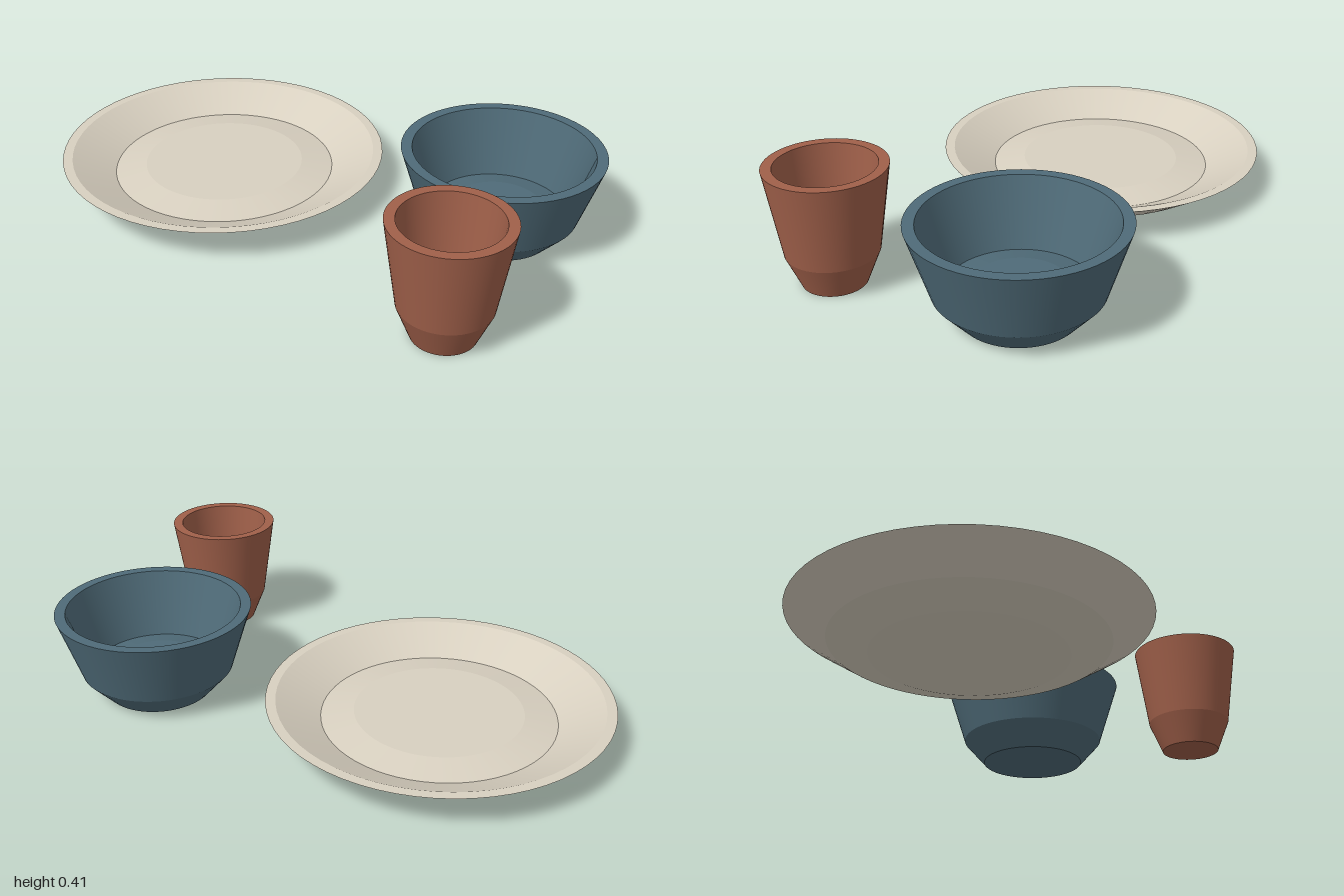
import * as THREE from 'three';
import { mergeGeometries } from 'three/addons/utils/BufferGeometryUtils.js';

const SEGMENTS = 64;

// Turned vessel: smooth around the axis, crisp between profile segments
function vessel(name, profile, material, x, z) {
  const bands = [];
  for (let i = 0; i < profile.length - 1; i++) {
    const pair = [profile[i], profile[i + 1]].map(([r, y]) => new THREE.Vector2(r, y));
    bands.push(new THREE.LatheGeometry(pair, SEGMENTS));
  }
  const mesh = new THREE.Mesh(mergeGeometries(bands), material);
  mesh.name = name;
  mesh.position.set(x, 0, z);
  return mesh;
}

function paint(name, color) {
  const material = new THREE.MeshStandardMaterial({ color });
  material.name = name;
  return material;
}

export function createModel() {
  const group = new THREE.Group();
  group.name = 'tableware';

  // Profiles run from the underside, up the outer wall, over the rim and down inside
  const plate = [
    [0, 0], [0.325, 0], [0.46, 0.04], [0.6, 0.13],
    [0.565, 0.13], [0.41, 0.053], [0.295, 0.073], [0, 0.073],
  ];
  const bowl = [
    [0, 0], [0.195, 0], [0.275, 0.09], [0.35, 0.325],
    [0.312, 0.325], [0.236, 0.09], [0.155, 0.105], [0, 0.105],
  ];
  const cup = [
    [0, 0], [0.108, 0], [0.155, 0.115], [0.2, 0.415],
    [0.165, 0.415], [0.136, 0.12], [0.073, 0.06], [0, 0.06],
  ];

  group.add(
    vessel('plate', plate, paint('cream glaze', 0xd8d0c0), -0.4, -0.06),
    vessel('bowl', bowl, paint('slate blue glaze', 0x4f6b78), 0.65, -0.18),
    vessel('cup', cup, paint('terracotta', 0xa0604a), 0.7, 0.455),
  );
  return group;
}
